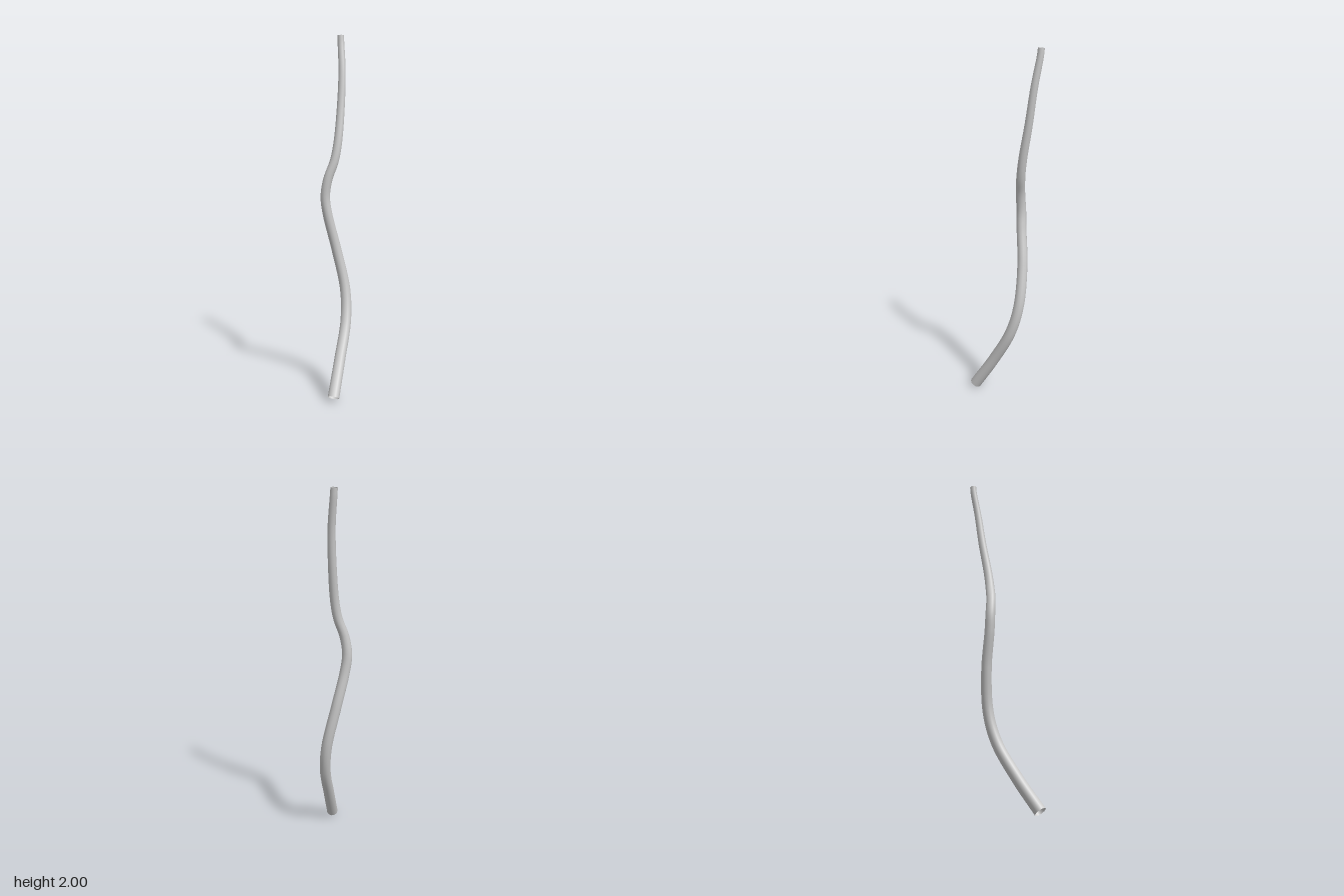
import * as THREE from 'three';

// Centre line of the stem, bottom to top
const PATH = [
  [-0.13, 0.02, 0.12], [-0.03, 0.2, 0.057], [0.065, 0.4, 0.0], [0.093, 0.57, -0.038],
  [0.063, 0.8, -0.08], [0.017, 1.0, -0.102], [0.005, 1.1, -0.108], [0.014, 1.2, -0.096],
  [0.045, 1.3, -0.077], [0.067, 1.4, -0.073], [0.102, 1.6, -0.087], [0.126, 1.8, -0.104],
  [0.14, 1.96, -0.13], [0.141, 1.998, -0.134],
].map((p) => new THREE.Vector3(...p));

const RINGS = 80, SIDES = 12;

// Radius along the stem: thick at the base, thinner at the tip
function radiusAt(t) {
  return t < 0.55
    ? THREE.MathUtils.lerp(0.033, 0.0275, t / 0.55)
    : THREE.MathUtils.lerp(0.0275, 0.0185, (t - 0.55) / 0.45);
}

// Sweep a unit tube, then scale each ring about the centre line
function taperedTube(curve) {
  const geo = new THREE.TubeGeometry(curve, RINGS, 1, SIDES, false);
  const pos = geo.attributes.position;
  const v = new THREE.Vector3();
  for (let i = 0; i <= RINGS; i++) {
    const t = i / RINGS;
    const centre = curve.getPointAt(t);
    for (let j = 0; j <= SIDES; j++) {
      const k = i * (SIDES + 1) + j;
      v.fromBufferAttribute(pos, k).sub(centre).multiplyScalar(radiusAt(t)).add(centre);
      pos.setXYZ(k, v.x, v.y, v.z);
    }
  }
  return geo;
}

export function createModel() {
  const group = new THREE.Group();
  group.name = 'curvedStem';

  // Open-ended winding stem
  const material = new THREE.MeshStandardMaterial({ color: 0xcccccc, side: THREE.DoubleSide });
  const stem = new THREE.Mesh(taperedTube(new THREE.CatmullRomCurve3(PATH)), material);
  stem.name = 'stem';
  group.add(stem);

  return group;
}
